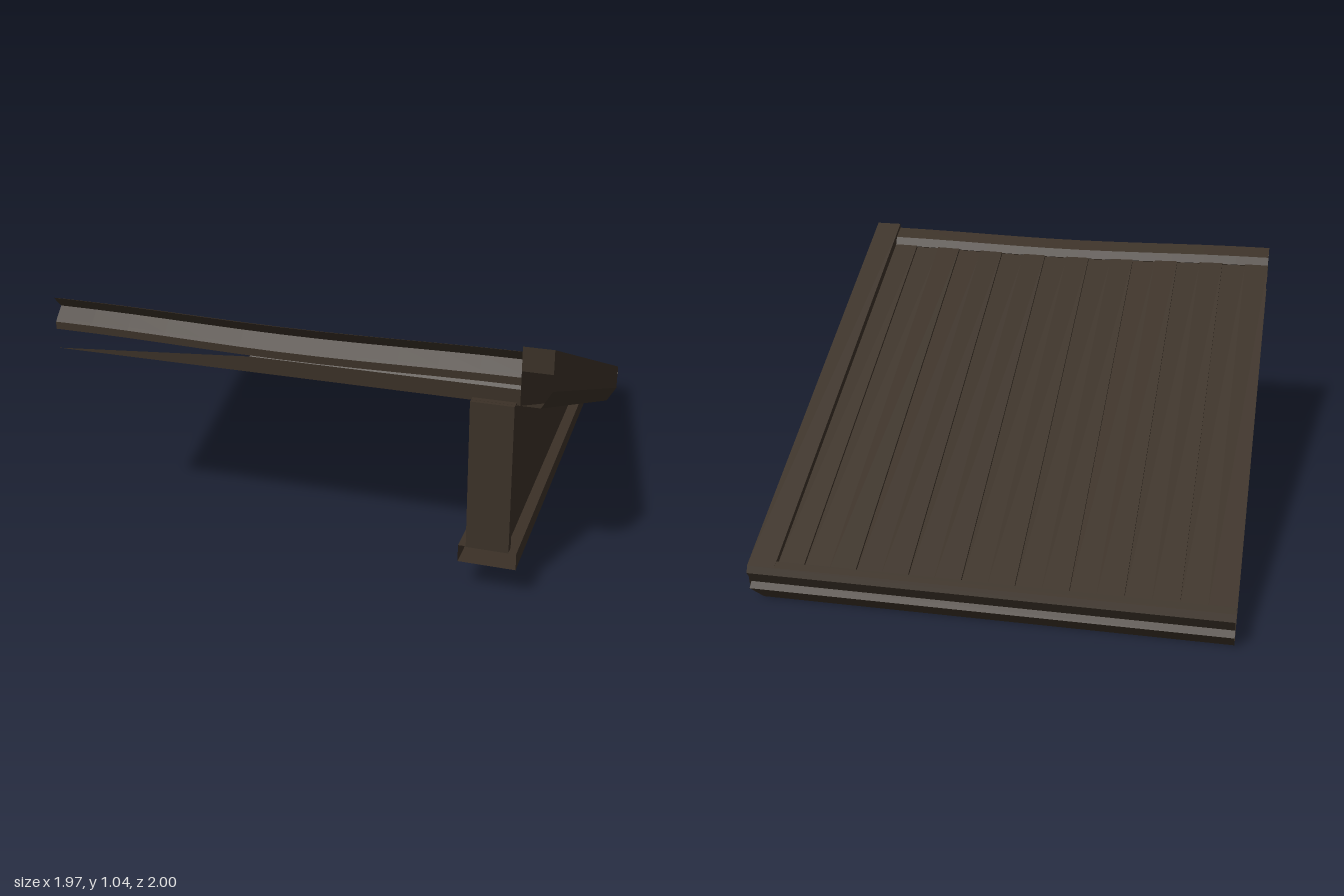
import * as THREE from 'three';

// Flat-sided skin between successive rings of [x, y, z] points
function loft(rings, closed = false) {
  const pos = [];
  for (let i = 0; i + 1 < rings.length; i++) {
    const r0 = rings[i], r1 = rings[i + 1], n = r0.length;
    for (let j = 0; j < (closed ? n : n - 1); j++) {
      const k = (j + 1) % n;
      pos.push(...r0[j], ...r0[k], ...r1[k], ...r0[j], ...r1[k], ...r1[j]);
    }
  }
  const g = new THREE.BufferGeometry();
  g.setAttribute('position', new THREE.Float32BufferAttribute(pos, 3));
  g.computeVertexNormals();
  return g;
}

export function createModel() {
  const model = new THREE.Group();
  const wood = new THREE.MeshStandardMaterial({ color: 0x3b3127, side: THREE.DoubleSide });
  wood.name = 'darkWood';
  const add = (name, geometry, x = 0, y = 0, z = 0) => {
    const m = new THREE.Mesh(geometry, wood);
    m.name = name;
    m.position.set(x, y, z);
    model.add(m);
  };

  const L = -0.985, R = 0.985, rakeX = 0.87;
  const under = z => 0.81 - 0.4175 * (1 - z);   // underside slope
  const top = z => 0.962 - 0.428 * (0.92 - z);  // plank slope
  // Ridge sags gently in the middle, fading out toward the eave
  const sag = (x, z) => -0.007 * (1 + Math.cos(Math.PI * Math.min(1, Math.abs(x) / 0.9))) * (z + 1) / 2;

  // Roof planks, alternately raised
  const count = 17, w = (rakeX - L) / count;
  const plankRing = z => {
    const ring = [];
    for (let i = 0; i < count; i++) {
      for (const x of [L + i * w, L + (i + 1) * w]) {
        ring.push([x, top(z) + (i % 2 ? -0.012 : 0) + sag(x, z), z]);
      }
    }
    return ring;
  };
  add('roofPlanks', loft([plankRing(0.92), plankRing(-0.955)]));

  // Flat underside
  add('soffit', loft([1, -0.94].map(z => [[0.945, under(z), z], [L, under(z), z]])));

  // Ridge moulding, profile as [z, y]
  const ridge = [[0.91, 0.955], [0.93, 0.992], [1, 1.02], [0.95, 0.97], [0.99, 0.93],
    [1, 0.92], [1, 0.89], [0.93, 0.865]];
  const ridgeRings = [];
  for (let i = 0; i <= 12; i++) {
    const x = L + (rakeX - L) * i / 12;
    ridgeRings.push(ridge.map(([z, y]) => [x, y + sag(x, z), z]));
  }
  add('ridgeMoulding', loft(ridgeRings));

  // Double-lobed eave moulding; the lowest edge stops at the rake bevel
  const eave = [[-0.95, 0.15], [-0.957, 0.182], [-0.99, 0.17], [-1, 0.14], [-0.96, 0.08],
    [-0.985, 0.06], [-0.94, 0]];
  add('eaveMoulding', loft([R, L].map(x =>
    eave.map(([z, y], i) => [i === 6 ? Math.min(x, 0.945) : x, y, z]))));

  // Bevelled rake beam along the gable edge
  add('rakeBeam', loft([
    [[rakeX, 0.81, 1], [rakeX, 1.04, 1], [R, 1.04, 1], [R, 0.88, 1], [0.945, 0.81, 1]],
    [[rakeX, 0, -0.94], [rakeX, 0.17, -0.99], [R, 0.17, -0.99], [R, 0.06, -0.975], [0.945, 0, -0.94]],
  ], true));
  add('rakeCap', new THREE.PlaneGeometry(R - rakeX, 0.095), (R + rakeX) / 2, 0.9925, 1);

  // Gable bracket: base beam, front post and triangular panel
  const b0 = 0.655, b1 = 0.88;
  add('bracketBase', loft([
    [[b0, 0.13, 1], [b0, 0.2, 1], [b1, 0.2, 1], [b1, 0.13, 1]],
    [[b0, 0.13, -0.64], [b0, 0.2, -0.47], [b1, 0.2, -0.47], [b1, 0.13, -0.64]],
  ], true));
  add('bracketPost', new THREE.BoxGeometry(0.165, 0.605, 0.04), 0.7675, 0.5, 0.98);

  const tri = new THREE.Shape();
  tri.moveTo(-0.97, 0.19);
  tri.lineTo(0.47, 0.19);
  tri.lineTo(-0.97, under(0.97));
  const panel = new THREE.ExtrudeGeometry(tri, { depth: 0.135, bevelEnabled: false });
  panel.rotateY(Math.PI / 2);
  add('gablePanel', panel, 0.7);

  return model;
}
